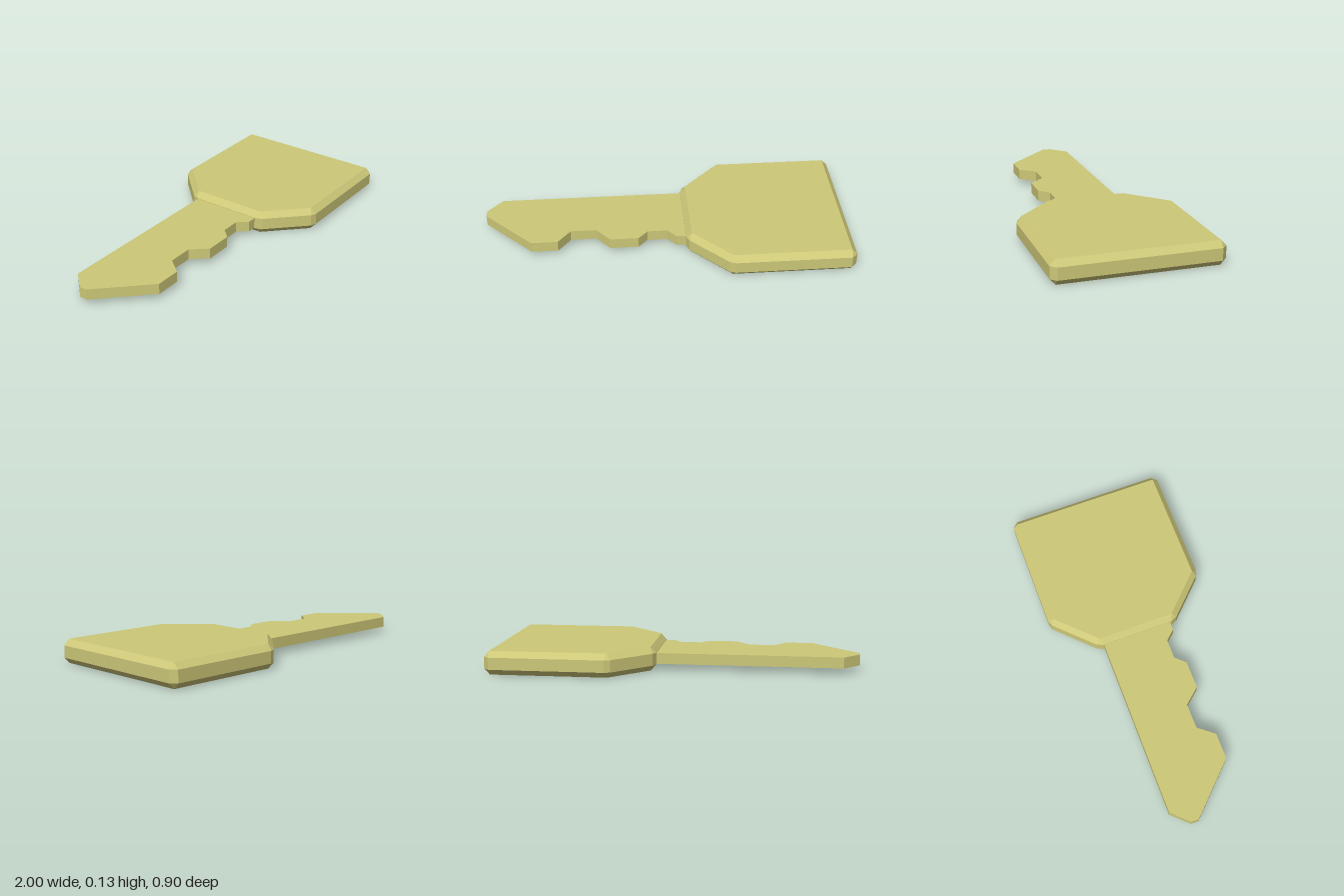
import * as THREE from 'three';
import { ConvexGeometry } from 'three/addons/geometries/ConvexGeometry.js';

export function createModel() {
  const model = new THREE.Group();
  model.name = 'key';
  const brass = new THREE.MeshStandardMaterial({ color: 0xcdc878, flatShading: true });
  const add = (geometry, name) => {
    const mesh = new THREE.Mesh(geometry, brass);
    mesh.name = name;
    model.add(mesh);
  };

  // Head: flat faces top and bottom, wider chamfered rim between them; [x, z] for one half
  const face = [[0.97, 0.42], [0.335, 0.42], [0.13, 0.215]];
  const rim = [[1, 0.42], [0.97, 0.45], [0.345, 0.45], [0.312, 0.437], [0.115, 0.24], [0.1, 0.205]];
  const points = [];
  const ring = (outline, y) => {
    for (const [x, z] of outline) {
      for (const side of [1, -1]) points.push(new THREE.Vector3(x, y, z * side));
    }
  };
  ring(face, 0);
  ring(rim, 0.032);
  ring(rim, 0.098);
  ring(face, 0.13);
  add(new ConvexGeometry(points), 'head');

  // Blade: notched outline [x, z], extruded upwards, its root sunk into the head
  const outline = [
    [-1, -0.065], [-0.745, 0.195], [-0.6, 0.195], [-0.53, 0.107], [-0.39, 0.107],
    [-0.315, 0.195], [-0.16, 0.195], [-0.108, 0.14], [0, 0.14], [0.05, 0.195],
    [0.14, 0.195], [0.14, -0.2], [-0.912, -0.2], [-1, -0.108],
  ];
  const shape = new THREE.Shape(outline.map(([x, z]) => new THREE.Vector2(x, -z)));
  const blade = new THREE.ExtrudeGeometry(shape, { depth: 0.06, bevelEnabled: false });
  blade.rotateX(-Math.PI / 2).translate(0, 0.035, 0);
  add(blade, 'blade');

  return model;
}
